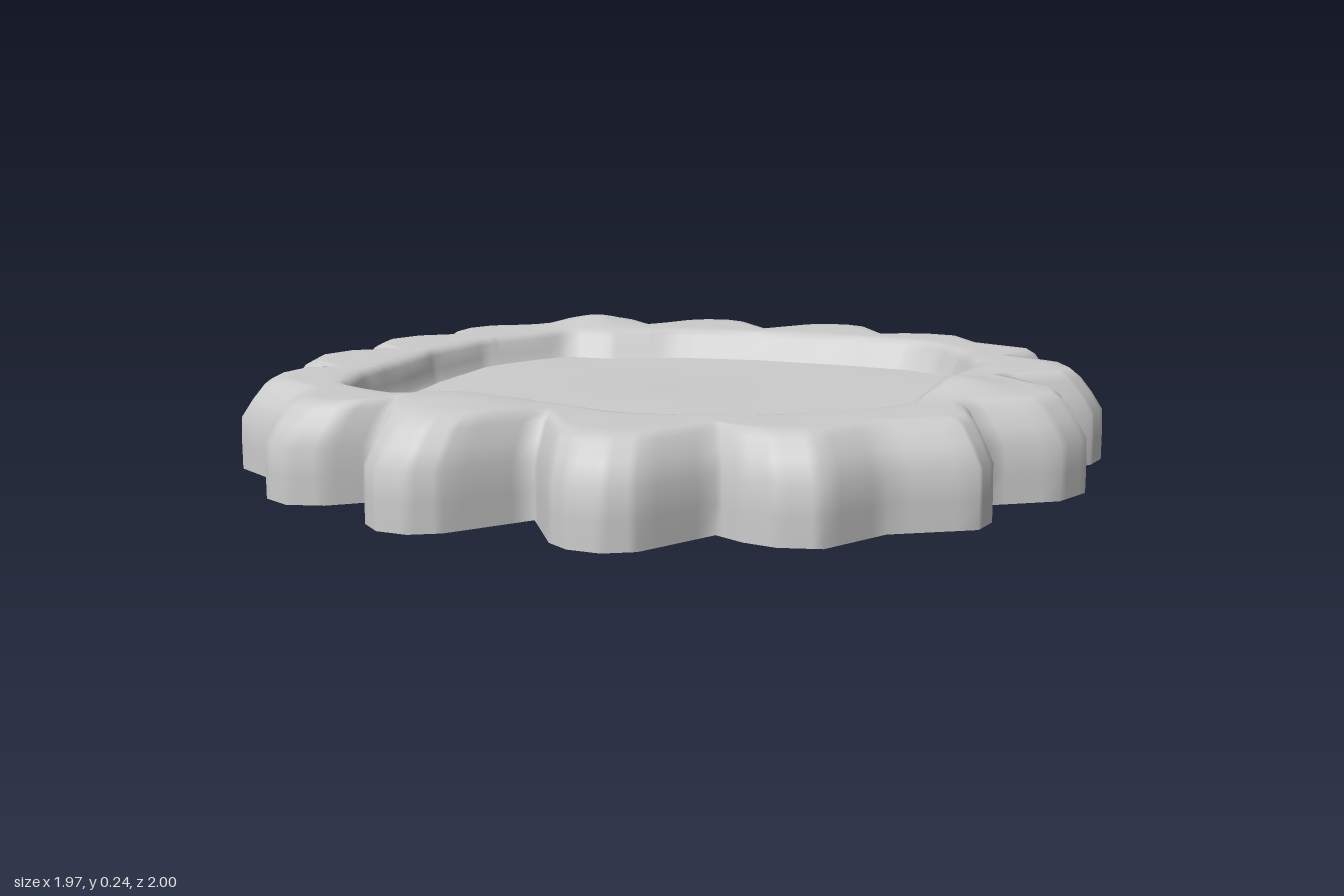
import * as THREE from 'three';

// Back half of the scalloped outline (x, z), left to right; the front half mirrors it
const HALF = [
  [-0.86, 0], [-0.96, -0.08], [-0.985, -0.18], [-0.95, -0.28], [-0.83, -0.375],
  [-0.89, -0.41], [-0.895, -0.51], [-0.86, -0.59], [-0.70, -0.685],
  [-0.63, -0.83], [-0.56, -0.865], [-0.48, -0.845], [-0.40, -0.78],
  [-0.32, -0.95], [-0.27, -0.993], [-0.20, -0.998], [-0.14, -0.965], [-0.02, -0.81],
  [0.08, -0.96], [0.13, -0.993], [0.20, -0.998], [0.26, -0.965], [0.355, -0.80],
  [0.42, -0.835], [0.49, -0.85], [0.575, -0.83], [0.66, -0.685],
  [0.82, -0.59], [0.835, -0.52], [0.80, -0.38],
  [0.94, -0.29], [0.982, -0.19], [0.965, -0.11], [0.83, 0],
];

// Uneven edge of the sunken middle (x, z)
const INNER = [
  [-0.69, 0], [-0.67, -0.25], [-0.58, -0.46], [-0.55, -0.53], [-0.42, -0.55], [-0.27, -0.635],
  [-0.2, -0.65], [0, -0.67], [0.25, -0.655], [0.45, -0.62], [0.53, -0.55], [0.6, -0.42],
  [0.68, -0.2], [0.65, 0.1], [0.65, 0.22], [0.63, 0.38], [0.52, 0.52], [0.3, 0.645],
  [0.12, 0.665], [-0.1, 0.635], [-0.25, 0.645], [-0.4, 0.63], [-0.6, 0.56], [-0.66, 0.38], [-0.67, 0.2],
];

// Low swellings on the rim: x, z, height, spread
const BUMPS = [[0.70, 0.18, 0.025, 0.1], [0.72, -0.15, 0.012, 0.3], [-0.53, -0.70, 0.025, 0.1], [-0.22, 0.76, 0.025, 0.16]];

// Points along the straight sides of a closed polygon
function divide(points, steps) {
  return points.flatMap(([x, z], i) => {
    const [nx, nz] = points[(i + 1) % points.length];
    return Array.from({ length: steps }, (_, k) =>
      new THREE.Vector3(x, 0, z).lerp(new THREE.Vector3(nx, 0, nz), k / steps));
  });
}

// Skin successive loops of equal point count, closing the last one
function loft(loops) {
  const n = loops[0].length, pos = [], idx = [];
  loops.forEach((l) => l.forEach((p) => pos.push(p.x, p.y, p.z)));
  for (let j = 0; j < loops.length - 1; j++) {
    for (let i = 0; i < n; i++) {
      const a = j * n + i, b = j * n + (i + 1) % n;
      idx.push(a, a + n, b, b, a + n, b + n);
    }
  }
  const last = (loops.length - 1) * n, c = pos.length / 3;
  const mid = loops[loops.length - 1].reduce((s, p) => s.add(p), new THREE.Vector3()).divideScalar(n);
  pos.push(mid.x, mid.y, mid.z);
  for (let i = 0; i < n; i++) idx.push(last + i, c, last + (i + 1) % n);
  const g = new THREE.BufferGeometry();
  g.setAttribute('position', new THREE.Float32BufferAttribute(pos, 3));
  g.setIndex(idx);
  g.computeVertexNormals();
  return g;
}

export function createModel() {
  const group = new THREE.Group();
  const material = new THREE.MeshStandardMaterial({ color: 0xcccccc, side: THREE.DoubleSide });

  const front = HALF.slice(1, -1).reverse().map(([x, z]) => [x, -z]);
  const outer = divide([...HALF, ...front], 4);

  // Inner edge sampled at the same headings as the outer edge
  const samples = divide(INNER, 30);
  const inner = outer.map((p) => {
    const dir = p.clone().normalize();
    return samples.reduce((best, s) =>
      (s.dot(dir) / s.length() > best.dot(dir) / best.length() ? s : best)).clone();
  });

  const rimHeight = (x, z) => 0.208 + BUMPS.reduce((h, [bx, bz, amp, w]) =>
    h + amp * Math.exp(-((x - bx) ** 2 + (z - bz) ** 2) / (w * w)), 0);

  // Upright outer wall with a sloping shoulder
  const loops = [[0, 1], [0.06, 1], [0.12, 0.998], [0.16, 0.973], [0.195, 0.946]]
    .map(([y, s]) => outer.map((p) => new THREE.Vector3(p.x * s, y, p.z * s)));

  // Top of the rim
  for (const t of [0, 0.2, 0.4, 0.6, 0.8, 0.93]) {
    loops.push(outer.map((p, i) => {
      const v = p.clone().multiplyScalar(0.92).lerp(inner[i], t);
      return v.setY(rimHeight(v.x, v.z) - (t > 0.9 ? 0.004 : 0));
    }));
  }

  // Step down into the basin, rounded into its shallow bottom
  const basin = [[0.19, 1, 0], [0.16, 0.985, 0.01], [0.135, 0.97, 0.02], [0.118, 0.95, 0.02],
    [0.108, 0.91, 0.02], [0.106, 0.8, 0.01], [0.108, 0.55, 0], [0.112, 0.25, 0]];
  for (const [y, s, shift] of basin) {
    loops.push(inner.map((p) => new THREE.Vector3(p.x * s, y, p.z * s + shift)));
  }
  const rim = new THREE.Mesh(loft(loops), material);
  rim.name = 'scallopedBasin';
  group.add(rim);

  // Gently rolling square sheet in the basin, its edges running under the rim
  const sheetGeometry = new THREE.PlaneGeometry(1.34, 1.32, 32, 32).rotateX(-Math.PI / 2);
  const pos = sheetGeometry.attributes.position;
  for (let i = 0; i < pos.count; i++) {
    const x = pos.getX(i), z = pos.getZ(i);
    // Corners drawn in slightly
    const s = 1 - 0.1 * (x * z / 0.44) ** 2;
    pos.setXYZ(i, x * s, 0.131 + 0.006 * Math.sin(5 * x + 2) * Math.cos(6 * z - 1), z * s);
  }
  sheetGeometry.computeVertexNormals();
  const sheet = new THREE.Mesh(sheetGeometry, material);
  sheet.name = 'innerSheet';
  group.add(sheet);

  return group;
}
